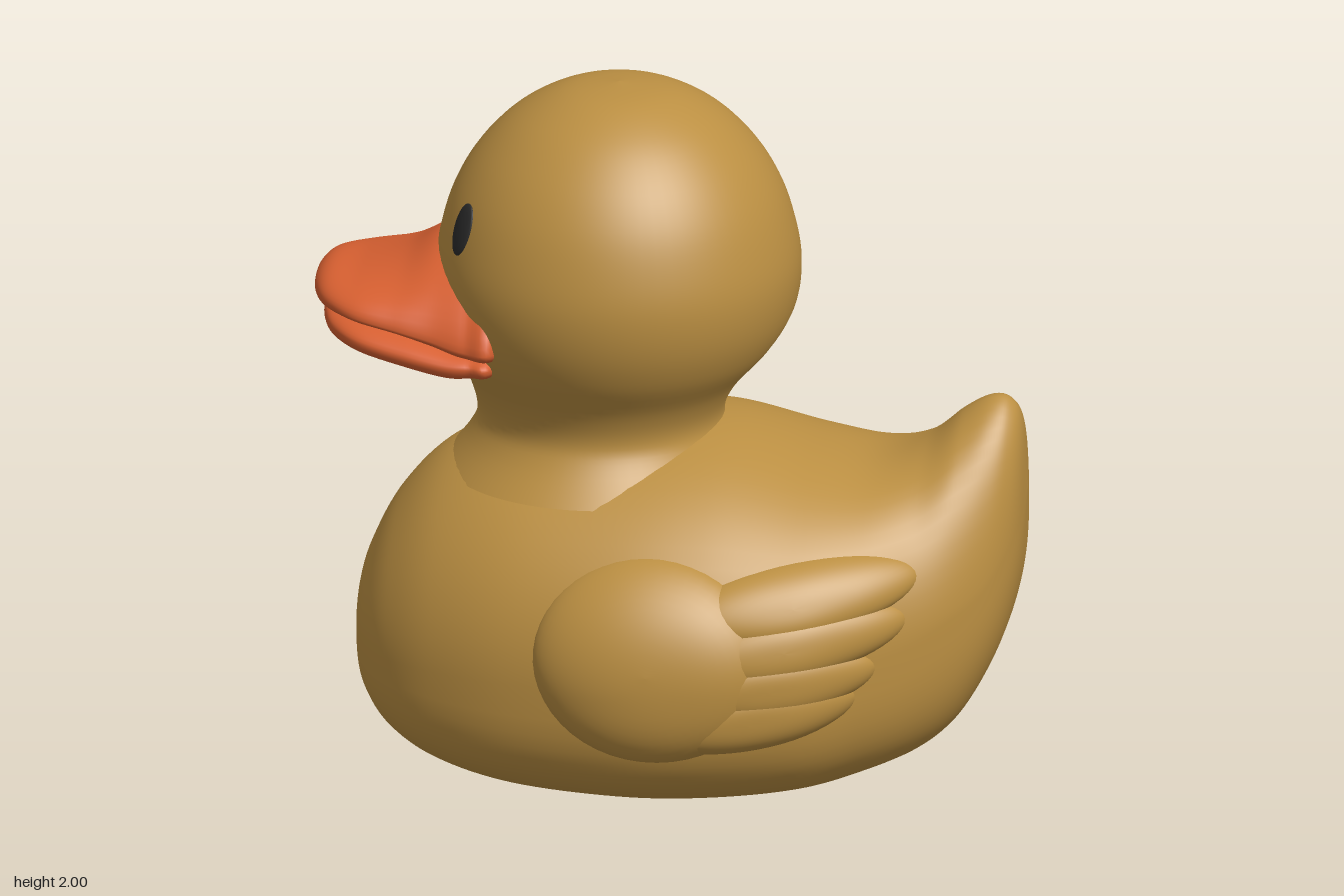
import * as THREE from 'three';

// Catmull-Rom interpolation through rows of numbers; u runs from 0 to rows.length - 1
function sampleRows(rows, u) {
  const i = Math.min(Math.floor(u), rows.length - 2), t = u - i;
  const at = k => rows[Math.max(0, Math.min(rows.length - 1, k))];
  const [a, b, c, d] = [at(i - 1), at(i), at(i + 1), at(i + 2)];
  return b.map((p, k) => {
    const m0 = (c[k] - a[k]) / 2, m1 = (d[k] - p) / 2, q = c[k];
    return p + m0 * t + (3 * (q - p) - 2 * m0 - m1) * t * t + (2 * (p - q) + m0 + m1) * t * t * t;
  });
}

function meshGeometry(pos, idx) {
  const g = new THREE.BufferGeometry();
  g.setAttribute('position', new THREE.Float32BufferAttribute(pos, 3));
  g.setIndex(idx);
  g.computeVertexNormals();
  return g;
}

// Smooth loft along x; each row is [x, bottom, top, widest y, half width, upper roundness]
function loft(rows, lowerN, steps = 8, sides = 64) {
  const pos = [], idx = [], count = (rows.length - 1) * steps;
  for (let i = 0; i <= count; i++) {
    const [x, yb, yt, yw, w, n] = sampleRows(rows, i / steps);
    for (let j = 0; j < sides; j++) {
      const a = j / sides * Math.PI * 2, c = Math.cos(a), s = Math.sin(a);
      const e = 2 / (s >= 0 ? n : lowerN);
      const h = s >= 0 ? yt - yw : yw - yb;
      pos.push(x, yw + h * Math.sign(s) * Math.abs(s) ** e, w * Math.sign(c) * Math.abs(c) ** e);
      if (i < count) {
        const p = i * sides + j, q = i * sides + (j + 1) % sides;
        idx.push(p, p + sides, q, q, p + sides, q + sides);
      }
    }
  }
  return meshGeometry(pos, idx);
}

const BODY_LOWER = 3.1;
const bodyRows = [
  [-0.88, 0.40, 0.40, 0.40, 0, 2],
  [-0.872, 0.31, 0.51, 0.40, 0.13, 2],
  [-0.84, 0.22, 0.62, 0.40, 0.26, 2],
  [-0.76, 0.13, 0.77, 0.40, 0.39, 2],
  [-0.62, 0.06, 0.91, 0.41, 0.51, 2],
  [-0.40, 0.015, 1.00, 0.42, 0.615, 2],
  [-0.10, 0, 1.03, 0.43, 0.68, 2],
  [0.15, 0.005, 1.03, 0.44, 0.675, 2],
  [0.40, 0.03, 0.97, 0.45, 0.62, 2.1],
  [0.58, 0.075, 0.945, 0.48, 0.53, 2.2],
  [0.72, 0.13, 0.99, 0.52, 0.445, 1.9],
  [0.82, 0.21, 1.075, 0.57, 0.37, 1.65],
  [0.90, 0.34, 1.12, 0.62, 0.285, 1.6],
  [0.955, 0.48, 1.11, 0.70, 0.20, 1.65],
  [0.988, 0.64, 1.04, 0.78, 0.11, 1.8],
  [1.0, 0.85, 0.85, 0.85, 0, 2],
];

// Half width of the body at a point of its side
function bodyHalfWidth(x, y) {
  let lo = 0, hi = bodyRows.length - 1;
  for (let k = 0; k < 30; k++) {
    const mid = (lo + hi) / 2;
    if (sampleRows(bodyRows, mid)[0] < x) lo = mid; else hi = mid;
  }
  const [, yb, yt, yw, w, n] = sampleRows(bodyRows, lo);
  const e = y > yw ? n : BODY_LOWER;
  const d = y > yw ? (y - yw) / (yt - yw) : (yw - y) / (yw - yb);
  return w * Math.max(0, 1 - d ** e) ** (1 / e);
}

// Raised oval pad that follows the side of the body
function pad(cx, cy, rx, ry, tilt, thick, side) {
  const rings = 14, sides = 48, pos = [], idx = [];
  for (let i = 0; i <= rings; i++) {
    const r = Math.sin(i / rings * Math.PI / 2);
    for (let j = 0; j < sides; j++) {
      const a = j / sides * Math.PI * 2;
      const u = rx * r * Math.cos(a), v = ry * r * Math.sin(a);
      const x = cx + u * Math.cos(tilt) - v * Math.sin(tilt);
      const y = cy + u * Math.sin(tilt) + v * Math.cos(tilt);
      const lift = (thick + 0.015) * Math.sqrt(Math.max(0, 1 - r ** 3)) - 0.015;
      pos.push(x, y, side * (bodyHalfWidth(x, y) + lift));
      if (i < rings) {
        const p = i * sides + j, q = i * sides + (j + 1) % sides;
        const f = [p, p + sides, q, q, p + sides, q + sides];
        idx.push(...(side > 0 ? f : f.reverse()));
      }
    }
  }
  return meshGeometry(pos, idx);
}

export function createModel() {
  const model = new THREE.Group();
  model.name = 'duck';
  const material = (name, color) => Object.assign(new THREE.MeshStandardMaterial({ color }), { name });
  const yellow = material('duckYellow', 0xbb8f42);
  const orange = material('billOrange', 0xd86031);
  const black = material('eyeBlack', 0x2b2b2b);
  const add = (name, geometry, mat, parent = model) => {
    const mesh = new THREE.Mesh(geometry, mat);
    mesh.name = name;
    parent.add(mesh);
    return mesh;
  };

  // Body with upturned tail
  add('body', loft(bodyRows, BODY_LOWER), yellow);

  // Head and neck, with the neck set slightly forward
  const profile = new THREE.SplineCurve([
    [0.44, 0.88], [0.37, 0.97], [0.345, 1.04], [0.375, 1.13], [0.45, 1.24], [0.495, 1.35], [0.51, 1.47],
    [0.492, 1.59], [0.45, 1.71], [0.38, 1.82], [0.28, 1.915], [0.15, 1.98], [0, 2],
  ].map(p => new THREE.Vector2(...p)));
  const head = new THREE.LatheGeometry(profile.getPoints(60), 72);
  const hp = head.attributes.position;
  for (let i = 0; i < hp.count; i++) {
    hp.setX(i, hp.getX(i) - 0.15 - 0.05 * (1 - THREE.MathUtils.smoothstep(hp.getY(i), 1.03, 1.4)));
  }
  add('headAndNeck', head, yellow);

  // Bill halves
  add('upperBill', loft([
    [-1.0, 1.39, 1.39, 1.39, 0, 2],
    [-0.99, 1.36, 1.42, 1.39, 0.11, 2],
    [-0.95, 1.34, 1.445, 1.385, 0.21, 2],
    [-0.86, 1.33, 1.455, 1.37, 0.295, 2],
    [-0.74, 1.31, 1.49, 1.35, 0.33, 1.8],
    [-0.64, 1.28, 1.55, 1.33, 0.35, 1.6],
    [-0.54, 1.25, 1.57, 1.31, 0.38, 1.6],
    [-0.45, 1.25, 1.56, 1.31, 0.375, 1.6],
    [-0.36, 1.31, 1.31, 1.31, 0, 2],
  ], 2.2, 8, 48), orange);
  add('lowerBill', loft([
    [-0.975, 1.31, 1.31, 1.31, 0, 2],
    [-0.965, 1.28, 1.34, 1.31, 0.10, 2],
    [-0.93, 1.25, 1.35, 1.30, 0.19, 2],
    [-0.85, 1.225, 1.35, 1.285, 0.27, 2],
    [-0.72, 1.20, 1.34, 1.265, 0.32, 2],
    [-0.60, 1.18, 1.32, 1.25, 0.35, 2],
    [-0.53, 1.185, 1.31, 1.25, 0.355, 2],
    [-0.46, 1.20, 1.30, 1.25, 0.34, 2],
    [-0.36, 1.25, 1.25, 1.25, 0, 2],
  ], 2.4, 8, 48), orange);

  for (const side of [1, -1]) {
    const label = side > 0 ? 'left' : 'right';

    // Eye, a thin oval lying on the head
    const eye = add(label + 'Eye', new THREE.SphereGeometry(1, 32, 16), black);
    eye.scale.set(0.048, 0.076, 0.012);
    eye.position.set(-0.557, 1.63, side * 0.25);
    eye.lookAt(-0.557 - 0.41, 1.63 + 0.14, side * 0.5);

    // Wing: a thick shoulder pad with thinner feathers behind it
    const wing = new THREE.Group();
    wing.name = label + 'Wing';
    model.add(wing);
    add('wingShoulder', pad(0.02, 0.505, 0.335, 0.285, -0.08, 0.075, side), yellow, wing);
    [
      [0.42, 0.675, 0.325, 0.1, 0.12],
      [0.40, 0.56, 0.32, 0.1, 0.14],
      [0.36, 0.45, 0.28, 0.095, 0.1],
      [0.30, 0.355, 0.29, 0.095, 0.16],
    ].forEach(([x, y, rx, ry, tilt], i) =>
      add('feather' + (i + 1), pad(x, y, rx, ry, tilt, 0.05, side), yellow, wing));
  }
  return model;
}
